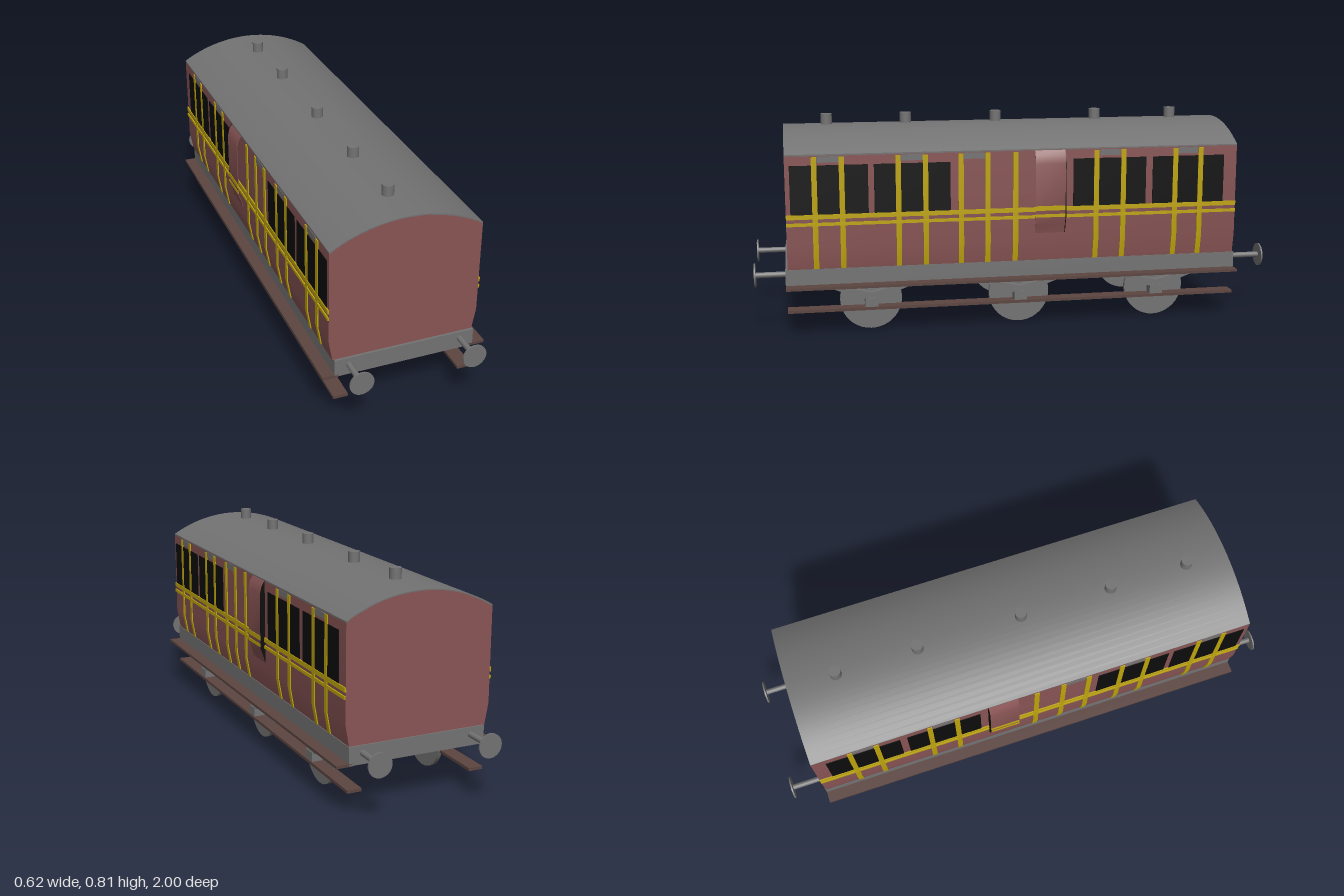
import * as THREE from 'three';
import { toCreasedNormals } from 'three/addons/utils/BufferGeometryUtils.js';

const material = (name, color, side = THREE.FrontSide) => {
  const m = new THREE.MeshStandardMaterial({ color, side });
  m.name = name;
  return m;
};

export function createModel() {
  const red = material('maroon paint', 0x8a5555, THREE.DoubleSide);
  const grey = material('grey metal', 0x737373);
  const gold = material('gold lining', 0xbfa50c);
  const black = material('dark glass', 0x0c0c0c, THREE.DoubleSide);
  const brown = material('brown boards', 0x5c4540);

  const model = new THREE.Group();
  model.name = 'railwayCarriage';
  const body = new THREE.Group();
  body.name = 'body';
  body.position.x = -0.005;
  model.add(body);

  const add = (parent, name, geometry, mat, x = 0, y = 0, z = 0) => {
    const mesh = new THREE.Mesh(geometry, mat);
    mesh.name = name;
    mesh.position.set(x, y, z);
    parent.add(mesh);
    return mesh;
  };
  // Box given by its two corners
  const box = (parent, name, mat, x0, x1, y0, y1, z0, z1) =>
    add(parent, name, new THREE.BoxGeometry(Math.abs(x1 - x0), y1 - y0, z1 - z0), mat,
      (x0 + x1) / 2, (y0 + y1) / 2, (z0 + z1) / 2);
  // Cross-section in x and y, drawn out along z
  const sweep = (parent, name, mat, points, z0, z1) => {
    const shape = new THREE.Shape(points.map(([x, y]) => new THREE.Vector2(x, y)));
    const g = new THREE.ExtrudeGeometry(shape, { depth: z1 - z0, bevelEnabled: false });
    return add(parent, name, toCreasedNormals(g, 0.5), mat, 0, 0, z0);
  };

  const BACK = -0.867, FRONT = 0.875, EAVES = 0.683, RISE = 0.079, HALF = 0.281;
  const width = y => (y < 0.33 ? 0.267 + (HALF - 0.267) * (y - 0.25) / 0.08 : HALF);

  // Roof arch, a circular arc from eave to eave
  const radius = (HALF * HALF + RISE * RISE) / (2 * RISE);
  const arch = lift => {
    const pts = [];
    for (let i = 0; i <= 24; i++) {
      const x = HALF - (2 * HALF * i) / 24;
      pts.push([x, EAVES + RISE - radius + Math.sqrt(radius * radius - x * x) + lift]);
    }
    return pts;
  };
  sweep(body, 'coachBody', red,
    [[-0.267, 0.25], [0.267, 0.25], [HALF, 0.33], ...arch(-0.001), [-HALF, 0.33]], BACK, FRONT);
  sweep(body, 'roof', grey, [...arch(0.003), ...arch(-0.003).reverse()], BACK, FRONT);
  for (const z of [0.71, 0.402, 0.043, -0.363, -0.679])
    add(body, 'roofVent', new THREE.CylinderGeometry(0.022, 0.022, 0.06, 20), grey, -0.002, 0.775, z);

  // Thin plate that follows the side wall
  const plate = (name, mat, side, y0, y1, z0, z1, t) => {
    const ys = y0 < 0.33 ? [y0, 0.33, y1] : [y0, y1];
    const outer = ys.map(y => [side * (width(y) + t), y]);
    const inner = ys.map(y => [side * (width(y) - 0.002), y]).reverse();
    sweep(body, name, mat, [...outer, ...inner], z0, z1);
  };

  for (const side of [1, -1]) {
    for (const [z0, z1] of [[0.57, 0.858], [0.262, 0.548], [-0.5, -0.212], [-0.815, -0.527]])
      plate('window', black, side, 0.458, 0.645, z0, z1, 0.002);
    for (const z of [0.768, 0.667, 0.458, 0.356, 0.222, 0.12, 0.013, -0.303, -0.41, -0.618, -0.72])
      plate('uprightLining', gold, side, 0.252, 0.676, z - 0.01, z + 0.01, 0.004);
    for (const z of [0.717, 0.407, 0.171, -0.357, -0.669])
      plate('doorVent', grey, side, 0.655, 0.678, z - 0.04, z + 0.04, 0.002);
    plate('upperLining', gold, side, 0.444, 0.461, BACK, FRONT, 0.005);
    plate('lowerLining', gold, side, 0.418, 0.43, BACK, FRONT, 0.005);

    // Guard's lookout: curved shell open at the front, glazed at the back
    const bulge = [[0, 0.36], [0.006, 0.385], [0.019, 0.42], [0.019, 0.63], [0.012, 0.66], [0, 0.68]]
      .map(([x, y]) => [side * (HALF + x), y]);
    const shell = bulge.map(([x, y]) => [x - side * 0.002, y]).reverse();
    sweep(body, 'lookoutShell', red, [...bulge, ...shell], -0.178, -0.062);
    sweep(body, 'lookoutGlass', black, bulge, -0.181, -0.178);
    for (const [y0, y1] of [[0.45, 0.468], [0.424, 0.436]])
      box(body, 'lookoutLining', gold, side * 0.299, side * 0.302, y0, y1, -0.178, -0.062);
  }

  // Underframe and footboards
  box(model, 'underframe', grey, -0.267, 0.265, 0.183, 0.251, -0.873, 0.884);
  for (const side of [1, -1]) {
    box(model, 'upperFootboard', brown, side * 0.25, side * 0.312, 0.181, 0.191, -0.873, 0.884);
    box(model, 'lowerFootboard', brown, side * 0.214, side * 0.269, 0.084, 0.095, -0.87, 0.88);
  }

  // Wheels, axles, axle boxes and springs
  const wheelGeo = new THREE.CylinderGeometry(0.118, 0.118, 0.016, 40).rotateZ(Math.PI / 2);
  const axleGeo = new THREE.CylinderGeometry(0.012, 0.012, 0.352, 16).rotateZ(Math.PI / 2);
  const springShape = new THREE.Shape([[-0.19, 0.186], [-0.15, 0.186], [0, 0.15], [0.15, 0.186],
    [0.19, 0.186], [0.03, 0.127], [-0.03, 0.127]].map(([x, y]) => new THREE.Vector2(x, y)));
  const springGeo = new THREE.ExtrudeGeometry(springShape, { depth: 0.028, bevelEnabled: false })
    .translate(0, 0, -0.014).rotateY(Math.PI / 2);
  for (const z of [0.565, -0.01, -0.555]) {
    add(model, 'axle', axleGeo, grey, 0, 0.12, z);
    for (const side of [1, -1]) {
      add(model, 'wheel', wheelGeo, grey, side * 0.215, 0.118, z);
      box(model, 'axleBox', grey, side * 0.201, side * 0.265, 0.088, 0.13, z - 0.025, z + 0.025);
      add(model, 'spring', springGeo, grey, side * 0.247, 0, z);
    }
  }

  // Buffers at both ends
  const shaftGeo = new THREE.CylinderGeometry(0.011, 0.011, 0.14, 16).rotateX(Math.PI / 2);
  const headGeo = new THREE.CylinderGeometry(0.045, 0.045, 0.006, 32).rotateX(Math.PI / 2);
  for (const end of [1, -1])
    for (const side of [1, -1]) {
      add(model, 'bufferShaft', shaftGeo, grey, side * 0.213, 0.224, end * 0.927);
      add(model, 'bufferHead', headGeo, grey, side * 0.213, 0.224, end * 0.997);
    }
  return model;
}
